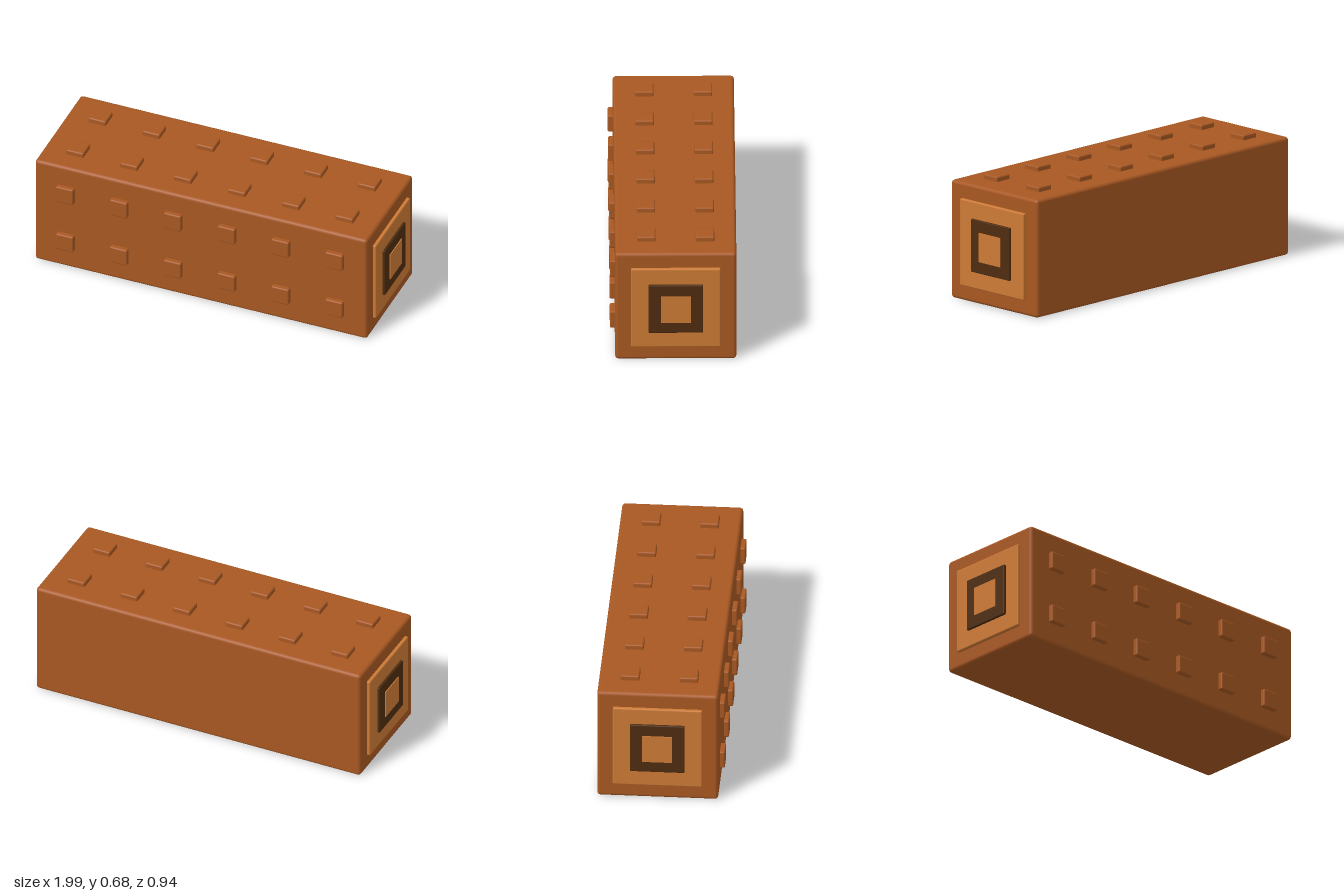
import * as THREE from 'three';
import { RoundedBoxGeometry } from 'three/addons/geometries/RoundedBoxGeometry.js';

const material = (name, color) => {
  const m = new THREE.MeshStandardMaterial({ color });
  m.name = name;
  return m;
};

export function createModel() {
  const brown = material('brown', 0xa85822);
  const tan = material('tan', 0xcd7a35);
  const dark = material('dark brown', 0x4e2c0f);

  const L = 1.91, H = 0.648, W = 0.645, mid = H / 2;
  const group = new THREE.Group();
  group.name = 'beam';

  const block = (name, size, radius, mat, x, y, z) => {
    const geometry = radius
      ? new RoundedBoxGeometry(...size, 2, radius)
      : new THREE.BoxGeometry(...size);
    const mesh = new THREE.Mesh(geometry, mat);
    mesh.name = name;
    mesh.position.set(x, y, z);
    group.add(mesh);
  };

  // main beam
  block('body', [L, H, W], 0.018, brown, 0, mid, 0);

  // two rows of six studs on the top and on the front
  const out = 0.027, deep = 0.04;
  for (let i = 0; i < 6; i++) {
    const x = (i - 2.5) * 0.31;
    for (const side of [-1, 1]) {
      block('topStud', [0.1, deep, 0.1], 0.008, brown, x, H + out - deep / 2, side * 0.156);
      block('frontStud', [0.1, 0.1, deep], 0.008, brown, x, mid + side * 0.155, W / 2 + out - deep / 2);
    }
  }

  // stepped square rings on both ends
  for (const end of [-1, 1]) {
    const plate = (name, size, depth, radius, mat) =>
      block(name, [0.04, size, size], radius, mat, end * (L / 2 + depth - 0.02), mid, 0);
    plate('endPlate', 0.476, 0.018, 0.007, tan);
    plate('endRing', 0.29, 0.031, 0.005, dark);
    plate('endCentre', 0.16, 0.036, 0, tan);
  }

  // beam lies at a slight angle
  group.rotation.y = 0.16;
  group.position.set(-0.002, 0, -0.003);
  const model = new THREE.Group();
  model.name = 'studdedBeam';
  model.add(group);
  return model;
}
